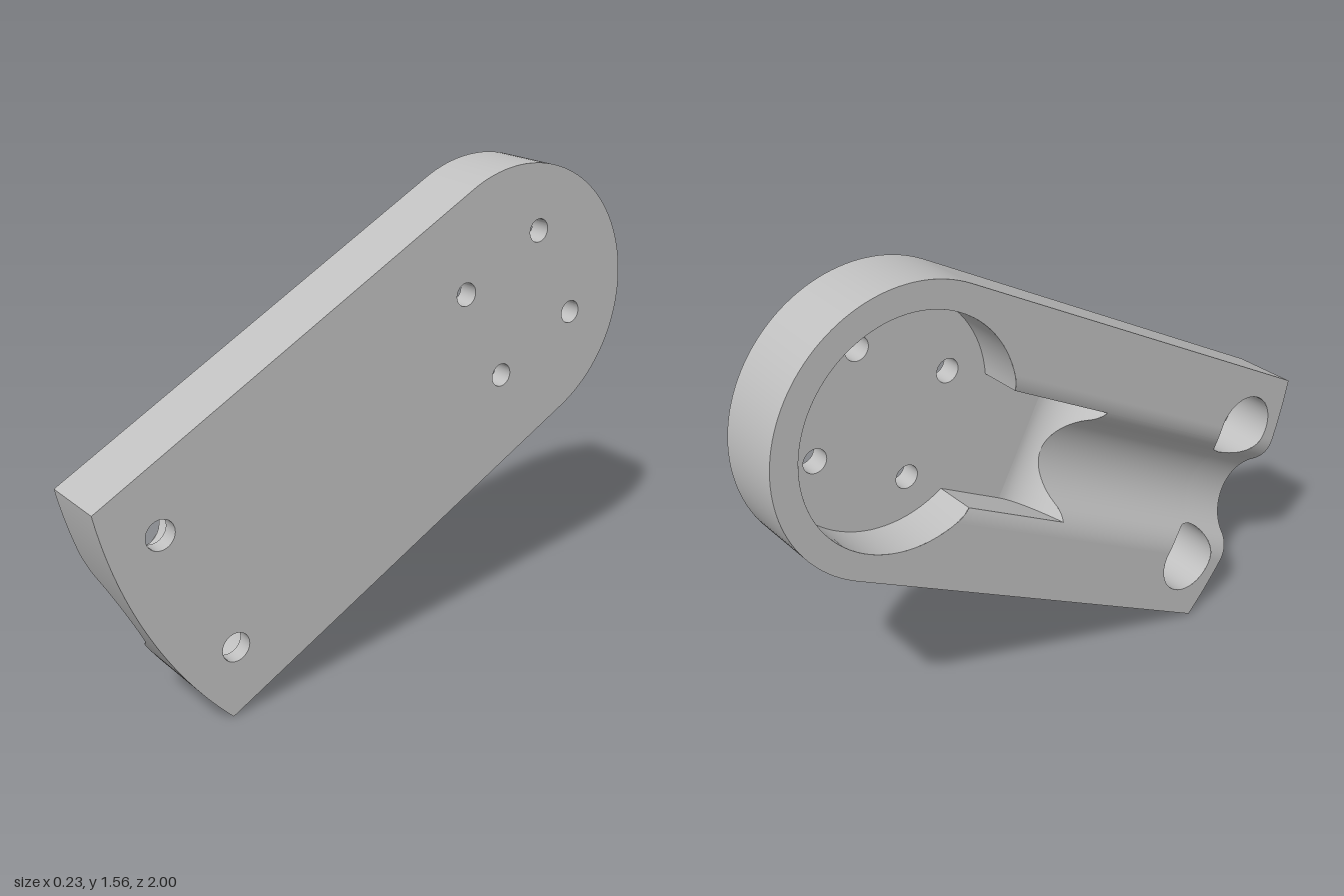
import * as THREE from 'three';

// Local frame: u runs along the arm to its round end, v across it, w through its thickness
const FACE = -0.113, BACK = 0.113;          // channelled side and plain side
const HALF = 0.45, REACH = 1.58;            // half width, radius of the curved foot
const RECESS = 0.365, FLOOR = 0.042;        // round recess
const SLOT = 0.187, RAMP = -0.56;           // slot half width, start of its ramp
const LIP = 0.235, LIP_R = 0.107, CH_R = 0.17, CH_W = -0.153, BLEND = 0.144; // channel
const PU = -1.388, PV = 0.25, PR = 0.115, PFLOOR = 0.06; // bolt pockets

const footU = v => -Math.sqrt(REACH * REACH - v * v);
const range = (a, b, n) => Array.from({ length: n + 1 }, (_, i) => a + (b - a) * i / n);
const arc = (cu, cv, r, a, b, n = 48) =>
  range(a, b, n).map(t => [cu + r * Math.cos(t), cv + r * Math.sin(t)]);
const circle = (cu, cv, r) => arc(cu, cv, r, Math.PI * 2, 0);

// Channel cross-section: round bottom flowing into rounded lips
function channel(v) {
  v = Math.abs(v);
  if (v >= LIP) return FACE;
  if (v < BLEND) return CH_W + Math.sqrt(CH_R * CH_R - v * v);
  return FACE + LIP_R - Math.sqrt(LIP_R * LIP_R - (LIP - v) ** 2);
}
const top = (u, v) => (u < 0 ? channel(v) : FACE);

// Ramp from the recess floor up to the channel
const rampW = u => FLOOR - 0.155 * Math.max(0, (RAMP - u) / 0.17) ** 2;
const rampEnd = v => RAMP - 0.17 * Math.sqrt((FLOOR - channel(v)) / 0.155);

// Surface through rows of points
function skin(rows) {
  const n = rows[0].length, index = [];
  for (let i = 0; i < rows.length - 1; i++) {
    for (let j = 0; j < n - 1; j++) {
      const a = i * n + j, b = a + n;
      index.push(a, b, b + 1, a, b + 1, a + 1);
    }
  }
  const g = new THREE.BufferGeometry();
  g.setAttribute('position', new THREE.Float32BufferAttribute(rows.flat(2), 3));
  g.setIndex(index);
  g.computeVertexNormals();
  return g;
}

// Upright wall along a path
const wall = (path, from, to) => skin(path.map(([u, v]) => [
  [u, v, typeof from === 'function' ? from(u, v) : from],
  [u, v, typeof to === 'function' ? to(u, v) : to]]));

// Flat plate with holes, facing +w or -w
function flat(points, holes, w, facing) {
  const vec = list => list.map(p => new THREE.Vector2(p[0], p[1]));
  const shape = new THREE.Shape(vec(points));
  for (const h of holes) shape.holes.push(new THREE.Path(vec(h.slice(0, -1))));
  const g = new THREE.ShapeGeometry(shape);
  if (facing < 0) {
    g.index.array.reverse();
    g.computeVertexNormals();
  }
  return g.translate(0, 0, w);
}

export function createModel() {
  const grey = new THREE.MeshStandardMaterial({ color: 0xc0c0c0, side: THREE.DoubleSide });
  grey.name = 'grey';
  const arm = new THREE.Group();
  arm.name = 'arm';
  const add = (name, geometry) => {
    const m = new THREE.Mesh(geometry, grey);
    m.name = name;
    arm.add(m);
  };

  // Holes
  const small = [];
  for (const a of [-1, 1]) for (const b of [-1, 1]) small.push(circle(a * 0.169, b * 0.169, 0.038));
  const large = [-1, 1].map(s => circle(PU, s * PV, 0.048));
  small.forEach(h => add('smallHole', wall(h, FLOOR, BACK)));
  large.forEach(h => add('boltHole', wall(h, PFLOOR, BACK)));

  // Outer rim and plain side
  const foot = range(HALF, -HALF, 80).map(v => [footU(v), v]);
  const side = [[footU(HALF), -HALF], ...arc(0, 0, HALF, -Math.PI / 2, Math.PI / 2, 64), [footU(HALF), HALF]];
  add('rim', wall(side, FACE, BACK));
  add('foot', wall(foot, top, BACK));
  add('plainSide', flat([...side, ...foot.slice(1, -1)], [...small, ...large], BACK, 1));

  // Channelled side, in two mirrored halves
  const tilt = Math.asin((PV - LIP) / PR);
  const half = [
    ...arc(0, 0, HALF, 0, Math.PI / 2, 32),
    ...range(HALF, LIP, 16).map(v => [footU(v), v]),
    ...arc(PU, PV, PR, Math.PI + tilt, -tilt),
    ...arc(0, 0, RECESS, Math.PI - Math.asin(LIP / RECESS), 0),
  ];
  add('channelSideUpper', flat(half, [], FACE, -1));
  add('channelSideLower', flat(half.map(([u, v]) => [u, -v]).reverse(), [], FACE, -1));

  // Channel surface, interrupted by the pockets
  const cuts = [-LIP, -SLOT, PR - PV, PV - PR, SLOT, LIP];
  for (let i = 0; i < 5; i++) {
    const vs = range(cuts[i], cuts[i + 1], i === 2 ? 32 : 10);
    const inSlot = i > 0 && i < 4;
    const gap = v => Math.sqrt(Math.max(0, PR * PR - (Math.abs(v) - PV) ** 2));
    const end = v => (inSlot ? rampEnd(v) : -Math.sqrt(RECESS * RECESS - v * v));
    const strip = (a, b) => skin(vs.map(v => [[a(v), v, channel(v)], [b(v), v, channel(v)]]));
    add('channelFoot', strip(footU, v => PU - gap(v)));
    add('channel', strip(v => PU + gap(v), end));
  }

  // Ramp
  add('ramp', skin(range(-SLOT, SLOT, 48).map(v =>
    range(rampEnd(v), RAMP, 10).map(u => [u, v, rampW(u)]))));

  // Recess with its slot
  const open = Math.PI - Math.asin(SLOT / RECESS);
  const bowl = arc(0, 0, RECESS, open, -open, 72);
  add('recessWall', wall(bowl, top, FLOOR));
  add('recessFloor', flat([...bowl, [RAMP, -SLOT], [RAMP, SLOT]], small, FLOOR, -1));
  const run = [bowl[0][0], ...range(RAMP, rampEnd(SLOT), 12)];
  add('slotWallLower', wall(run.map(u => [u, -SLOT]), top, rampW));
  add('slotWallUpper', wall(run.map(u => [u, SLOT]).reverse(), top, rampW));

  // Bolt pockets
  [-1, 1].forEach((s, i) => {
    const ring = circle(PU, s * PV, PR);
    add('pocketWall', wall(ring, top, PFLOOR));
    add('pocketFloor', flat(ring.slice(0, -1), [large[i]], PFLOOR, -1));
  });

  // Tilt the arm into place
  const c = 0.883, k = 0.4694;
  const basis = new THREE.Matrix4().makeBasis(
    new THREE.Vector3(0, k, -c), new THREE.Vector3(0, c, k), new THREE.Vector3(1, 0, 0));
  arm.quaternion.setFromRotationMatrix(basis);
  arm.position.set(0, 1.11, -0.55);

  const model = new THREE.Group();
  model.name = 'mountingArm';
  model.add(arm);
  return model;
}
